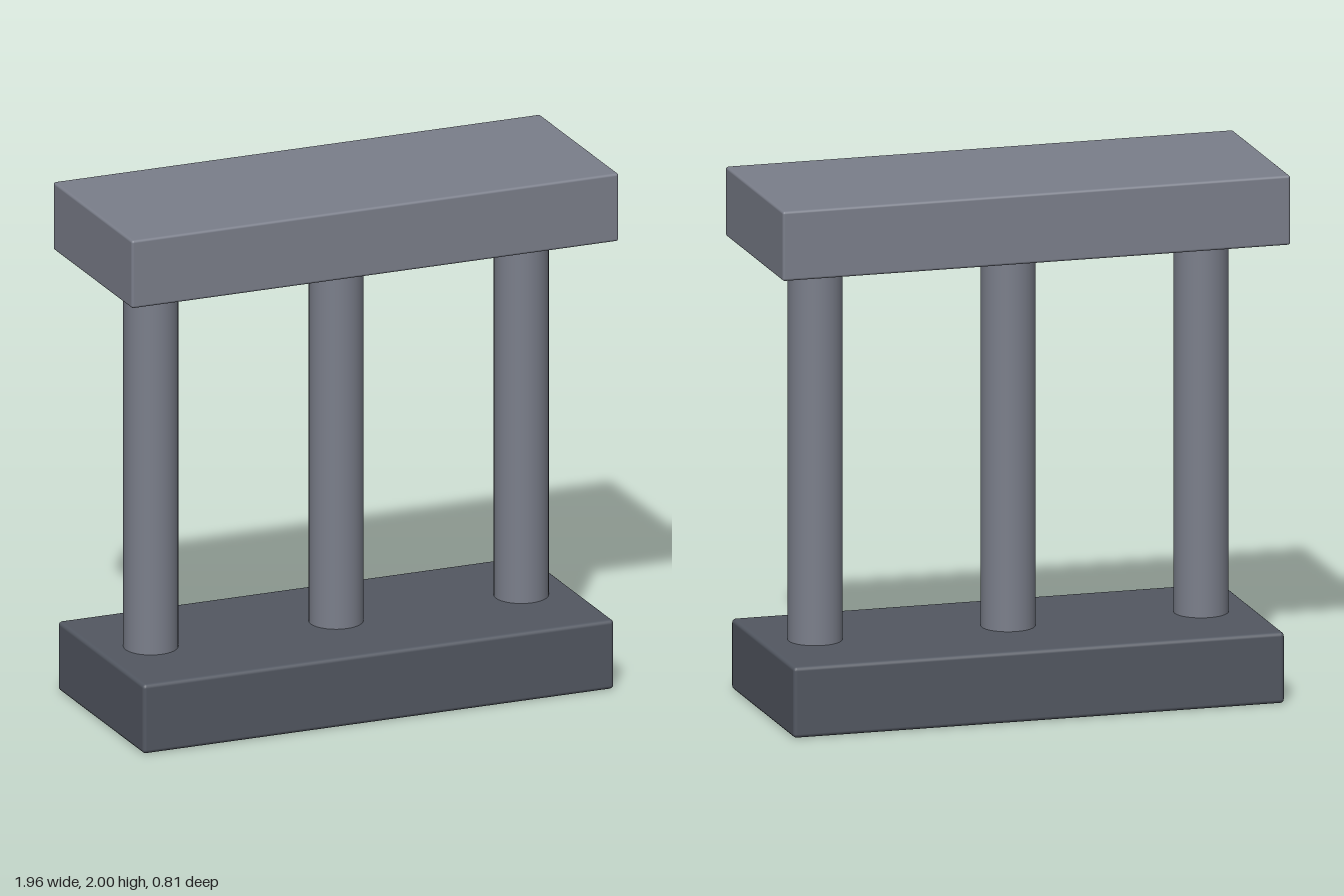
import * as THREE from 'three';
import { RoundedBoxGeometry } from 'three/addons/geometries/RoundedBoxGeometry.js';

function material(name, color) {
  const m = new THREE.MeshStandardMaterial({ color });
  m.name = name;
  return m;
}

export function createModel() {
  const group = new THREE.Group();
  group.name = 'colonnade';
  const stone = material('grey stone', 0x7b7f8b);
  const darkStone = material('dark stone', 0x535862);
  const cream = material('cream stone', 0xd6c6a8);

  const add = (name, geometry, mat, x, y) => {
    const mesh = new THREE.Mesh(geometry, mat);
    mesh.name = name;
    mesh.position.set(x, y, 0);
    group.add(mesh);
  };

  // Plinth and lintel with softened edges
  add('base', new RoundedBoxGeometry(1.895, 0.27, 0.805, 2, 0.015), darkStone, 0, 0.135);
  add('lintel', new RoundedBoxGeometry(1.96, 0.265, 0.74, 2, 0.01), stone, 0, 1.8675);

  // Three round columns, each with a square capital
  const shaft = new THREE.CylinderGeometry(0.102, 0.102, 1.45, 32);
  const capital = new RoundedBoxGeometry(0.265, 0.045, 0.265, 2, 0.008);
  for (const x of [-0.745, 0, 0.745]) {
    add('column', shaft, stone, x, 0.975);
    add('capital', capital, cream, x, 1.7175);
  }
  return group;
}
